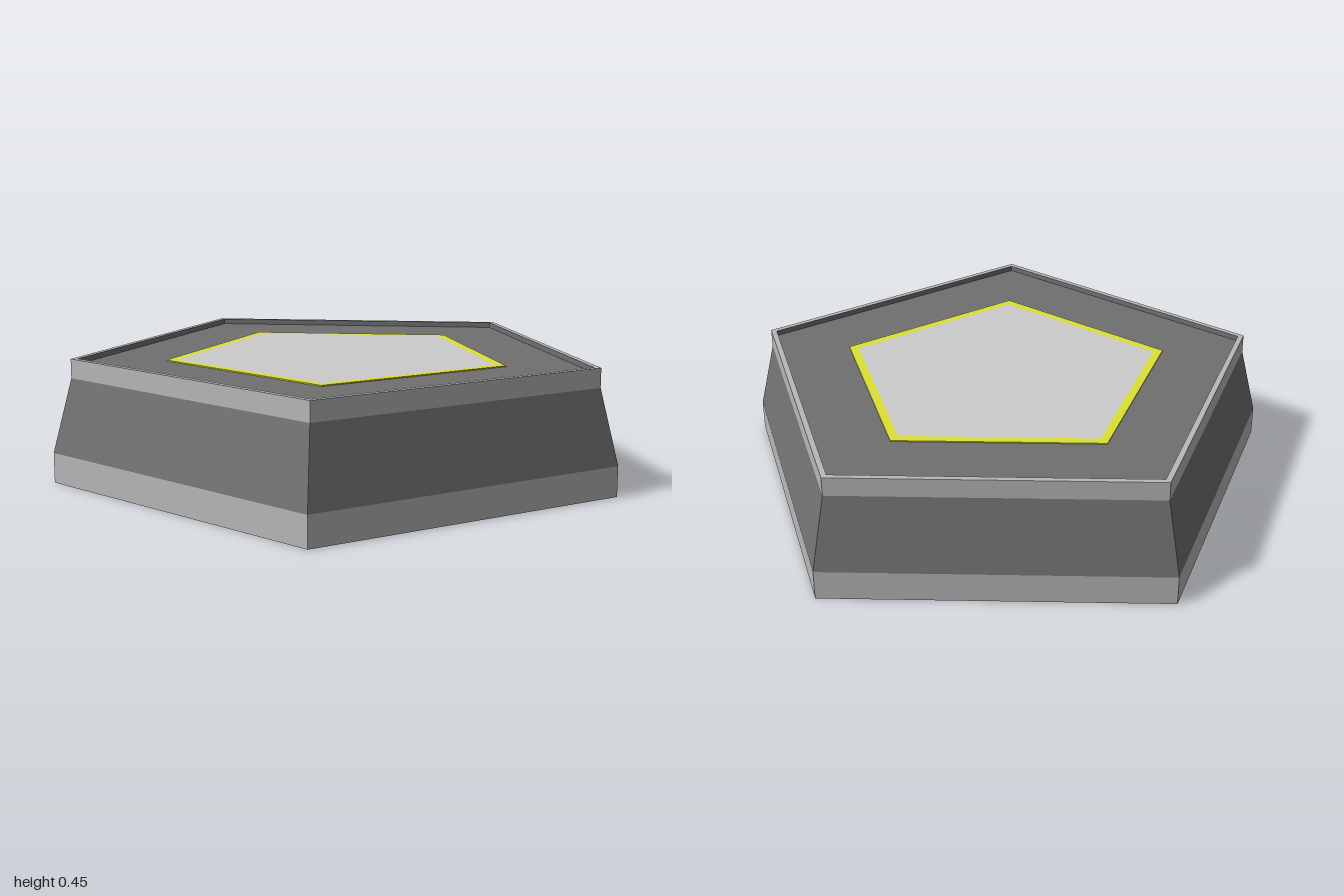
import * as THREE from 'three';

const BASE_R = 1.0515, TOP_R = 0.98, INNER_R = 0.955, FLOOR_Y = 0.43;

const material = (color) => new THREE.MeshStandardMaterial({ color, flatShading: true });

// Five-sided shell from a [radius, height] profile, one corner pointing back (-z)
function pentagon(name, profile, mat) {
  const points = profile.map(([r, y]) => new THREE.Vector2(r, y));
  const geometry = new THREE.LatheGeometry(points, 5, Math.PI).toNonIndexed();
  geometry.computeVertexNormals();
  const mesh = new THREE.Mesh(geometry, mat);
  mesh.name = name;
  return mesh;
}

export function createModel() {
  const group = new THREE.Group();
  group.name = 'pentagonPlatform';
  const dark = material(0x707070);
  const light = material(0xb8b8b8);
  const yellow = material(0xdde035);
  const pale = material(0xe0dcdc);

  const body = new THREE.Group();
  body.name = 'platformBody';
  body.position.z = 0.1; // centres the pentagon's bounds
  group.add(body);

  body.add(
    pentagon('underside', [[0, 0], [BASE_R, 0]], dark),
    pentagon('baseBand', [[BASE_R, 0], [BASE_R, 0.11]], light),
    pentagon('slopedSides', [[BASE_R, 0.11], [TOP_R, 0.38]], dark),
    pentagon('topRim', [[TOP_R, 0.38], [TOP_R, 0.45], [INNER_R, 0.45]], light),
    // Shallow recess inside the rim
    pentagon('recessedFloor', [[INNER_R, 0.45], [INNER_R, FLOOR_Y], [0, FLOOR_Y]], dark),
    // Centre pad with its coloured border
    pentagon('padBorder', [[0.64, FLOOR_Y], [0.64, FLOOR_Y + 0.004], [0.6, FLOOR_Y + 0.004]], yellow),
    pentagon('centrePad', [[0.6, FLOOR_Y + 0.004], [0, FLOOR_Y + 0.004]], pale),
  );
  return group;
}
